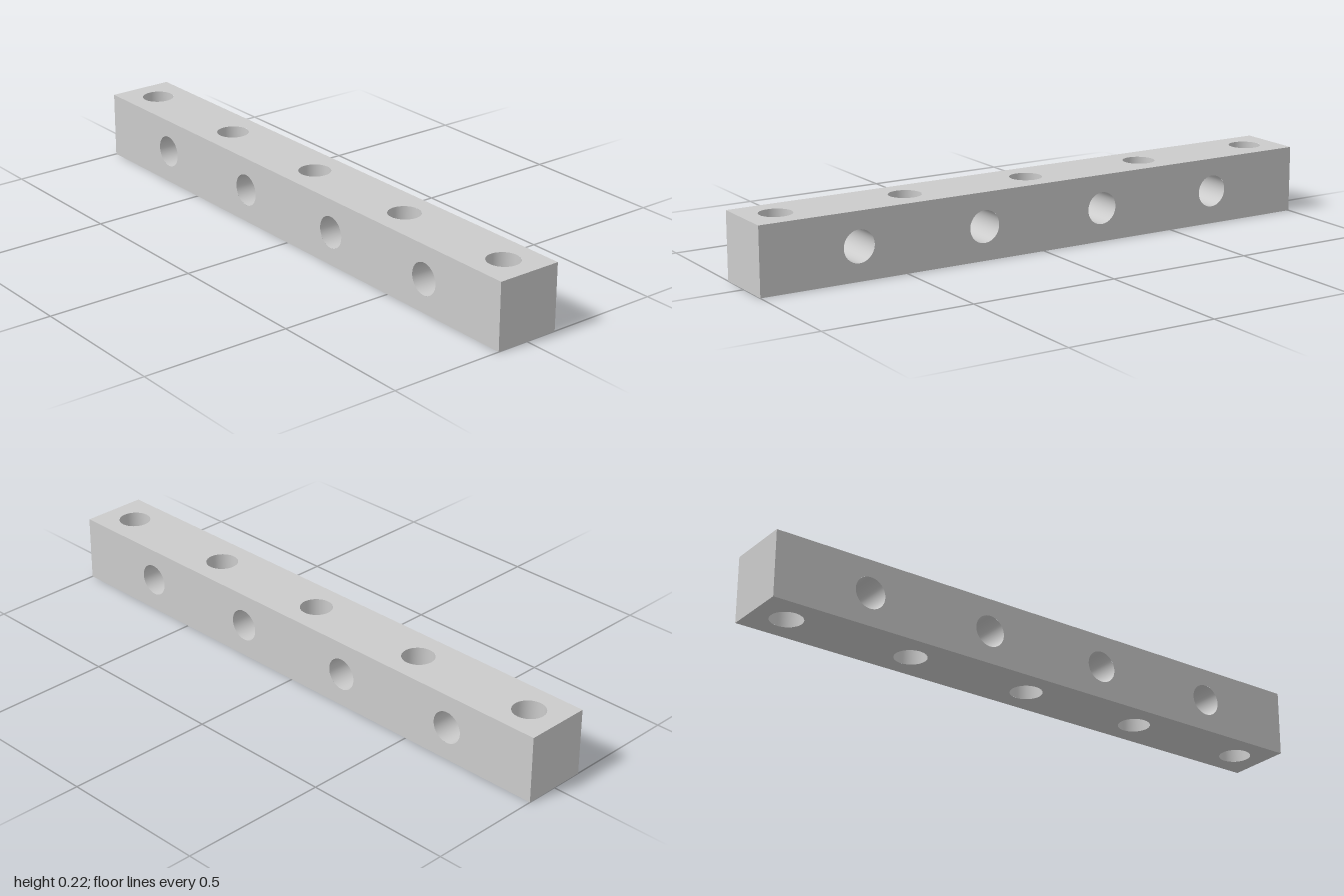
import * as THREE from 'three';

const LENGTH = 2;
const PITCH = LENGTH / 9; // hole spacing, also the width and height of the bar
const RADIUS = 0.053;
const SEGMENTS = 48;

// Long side of the bar, pierced at the given positions
function piercedFace(holes) {
  const x = LENGTH / 2, y = PITCH / 2;
  const shape = new THREE.Shape([
    new THREE.Vector2(-x, -y), new THREE.Vector2(x, -y),
    new THREE.Vector2(x, y), new THREE.Vector2(-x, y),
  ]);
  for (const h of holes) {
    shape.holes.push(new THREE.Path().absarc(h, 0, RADIUS, 0, Math.PI * 2, true));
  }
  return new THREE.ShapeGeometry(shape, SEGMENTS);
}

export function createModel() {
  const model = new THREE.Group();
  model.name = 'drilledBeam';
  const outer = new THREE.MeshStandardMaterial({ color: 0xcccccc });
  const inner = new THREE.MeshStandardMaterial({ color: 0xcccccc, side: THREE.BackSide });

  const add = (name, geometry, material = outer) => {
    const mesh = new THREE.Mesh(geometry, material);
    mesh.name = name;
    model.add(mesh);
    return mesh;
  };

  // Cross holes and upright holes alternate along the bar
  const crossHoles = [-3, -1, 1, 3].map((i) => i * PITCH);
  const uprightHoles = [-4, -2, 0, 2, 4].map((i) => i * PITCH);

  // Four long faces, turned about the bar's axis
  ['frontFace', 'topFace', 'backFace', 'bottomFace'].forEach((name, i) => {
    const face = piercedFace(i % 2 ? uprightHoles : crossHoles);
    face.translate(0, 0, PITCH / 2).rotateX(-i * Math.PI / 2);
    add(name, face.translate(0, PITCH / 2, 0));
  });

  // Solid square ends
  for (const [name, s] of [['leftEnd', 1], ['rightEnd', -1]]) {
    const end = new THREE.PlaneGeometry(PITCH, PITCH).rotateY(s * Math.PI / 2);
    add(name, end.translate(s * LENGTH / 2, PITCH / 2, 0));
  }

  // Bore walls, seen from inside
  const bore = () => new THREE.CylinderGeometry(RADIUS, RADIUS, PITCH, SEGMENTS, 1, true);
  for (const x of uprightHoles) {
    add('uprightBore', bore(), inner).position.set(x, PITCH / 2, 0);
  }
  for (const x of crossHoles) {
    add('crossBore', bore().rotateX(Math.PI / 2), inner).position.set(x, PITCH / 2, 0);
  }

  return model;
}
